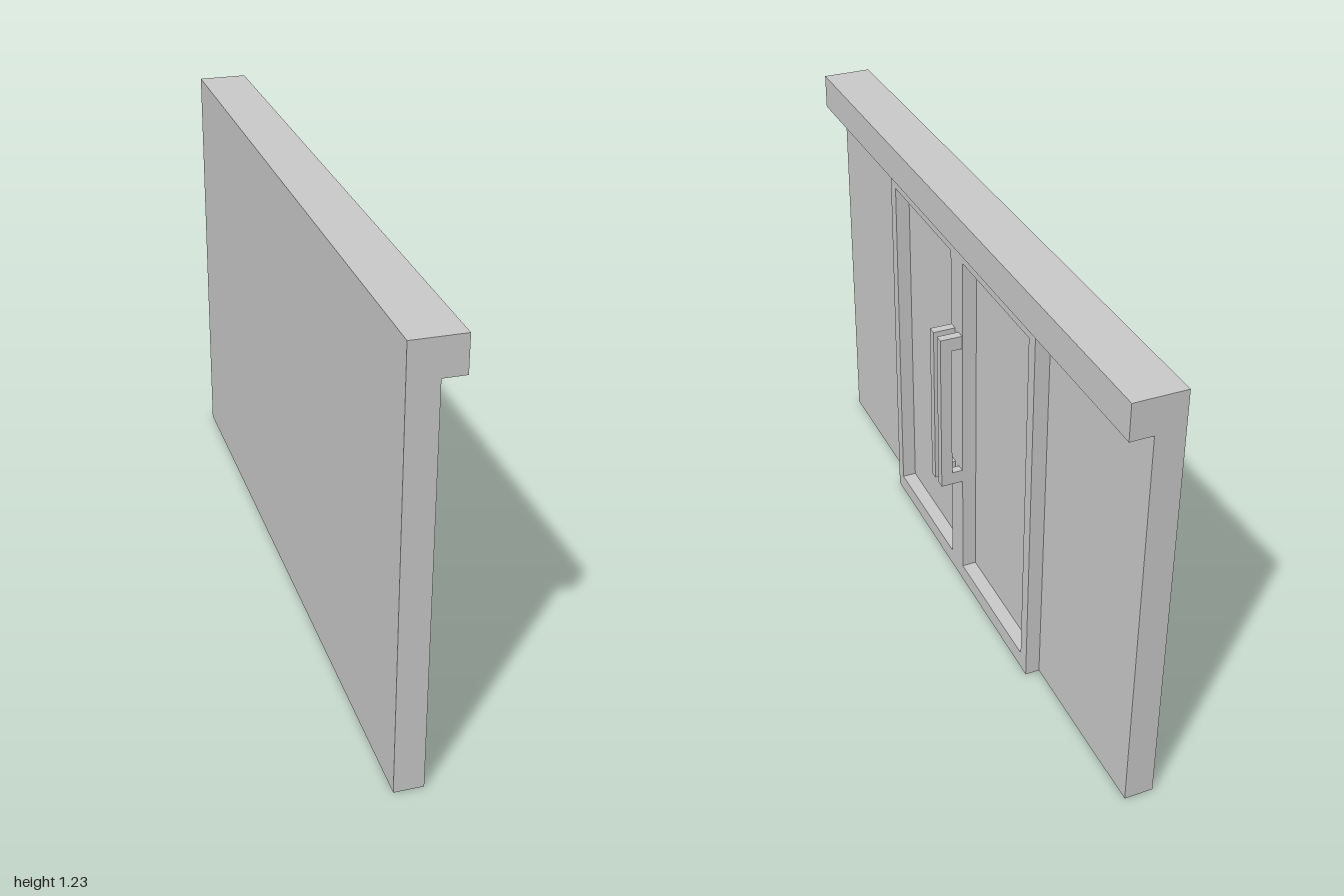
import * as THREE from 'three';

const material = new THREE.MeshStandardMaterial({ color: 0xcccccc, flatShading: true });

// Box given by its min and max corners
function box(name, [x0, y0, z0], [x1, y1, z1]) {
  const mesh = new THREE.Mesh(new THREE.BoxGeometry(x1 - x0, y1 - y0, z1 - z0), material);
  mesh.position.set((x0 + x1) / 2, (y0 + y1) / 2, (z0 + z1) / 2);
  mesh.name = name;
  return mesh;
}

function rectangle(Type, u0, v0, u1, v1) {
  return new Type([[u0, v0], [u1, v0], [u1, v1], [u0, v1]].map(([u, v]) => new THREE.Vector2(u, v)));
}

export function createModel() {
  const model = new THREE.Group();
  model.name = 'slidingDoorWall';

  const back = -0.094, wallFace = -0.014, frameFace = 0.027, headerFace = 0.048;
  const doorTop = 1.125, top = 1.225;

  // Wall slab and the overhanging track cover above it
  model.add(box('wall', [back, 0, -1], [wallFace, doorTop, 1]));
  model.add(box('header', [back, doorTop, -1], [headerFace, top, 1]));

  // Double door frame with two recessed panels, extruded towards +x
  const frameShape = rectangle(THREE.Shape, -0.49, 0, 0.49, doorTop);
  for (const s of [-1, 1]) {
    frameShape.holes.push(rectangle(THREE.Path, s * 0.04, 0.05, s * 0.454, 1.078));
  }
  const frame = new THREE.Mesh(
    new THREE.ExtrudeGeometry(frameShape, { depth: frameFace - wallFace, bevelEnabled: false }), material);
  frame.rotation.y = Math.PI / 2;
  frame.position.x = wallFace;
  frame.name = 'doorFrame';
  model.add(frame);

  // A C-shaped pull handle on each door leaf
  const handleShape = new THREE.Shape([
    [frameFace, 0.362], [0.091, 0.362], [0.091, 0.852], [frameFace, 0.852],
    [frameFace, 0.812], [0.058, 0.812], [0.058, 0.402], [frameFace, 0.402],
  ].map(([x, y]) => new THREE.Vector2(x, y)));
  const handleGeometry = new THREE.ExtrudeGeometry(handleShape, { depth: 0.025, bevelEnabled: false });
  for (const [name, z] of [['leftHandle', -0.037], ['rightHandle', 0.012]]) {
    const handle = new THREE.Mesh(handleGeometry, material);
    handle.position.z = z;
    handle.name = name;
    model.add(handle);
  }

  return model;
}
